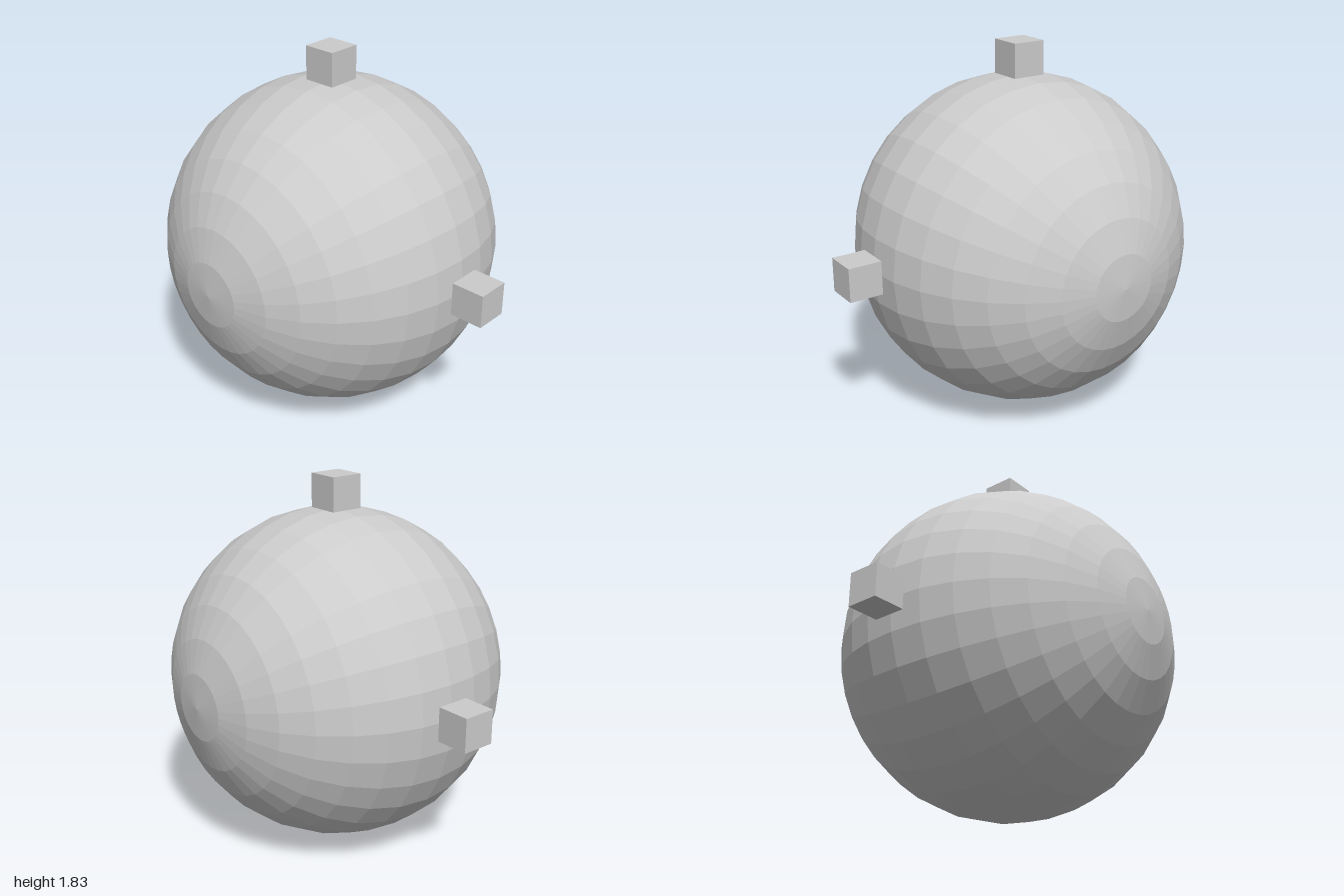
import * as THREE from 'three';

export function createModel() {
  const group = new THREE.Group();
  const material = new THREE.MeshStandardMaterial({ color: 0xcccccc, flatShading: true });
  const radius = 5 / 6;
  const cube = 1 / 6;

  // faceted ball, poles along z
  const ballGeometry = new THREE.SphereGeometry(radius, 32, 16);
  ballGeometry.rotateX(Math.PI / 2);
  const ball = new THREE.Mesh(ballGeometry, material);
  ball.name = 'ball';
  ball.position.y = radius;
  group.add(ball);

  // cubes resting on the ball at the left, right and top
  const cubeGeometry = new THREE.BoxGeometry(cube, cube, cube);
  const reach = radius + cube / 2;
  const directions = { leftCube: [1, 0], rightCube: [-1, 0], topCube: [0, 1] };
  for (const [name, [x, y]] of Object.entries(directions)) {
    const mesh = new THREE.Mesh(cubeGeometry, material);
    mesh.name = name;
    mesh.position.set(x * reach, radius + y * reach, 0);
    group.add(mesh);
  }
  return group;
}
